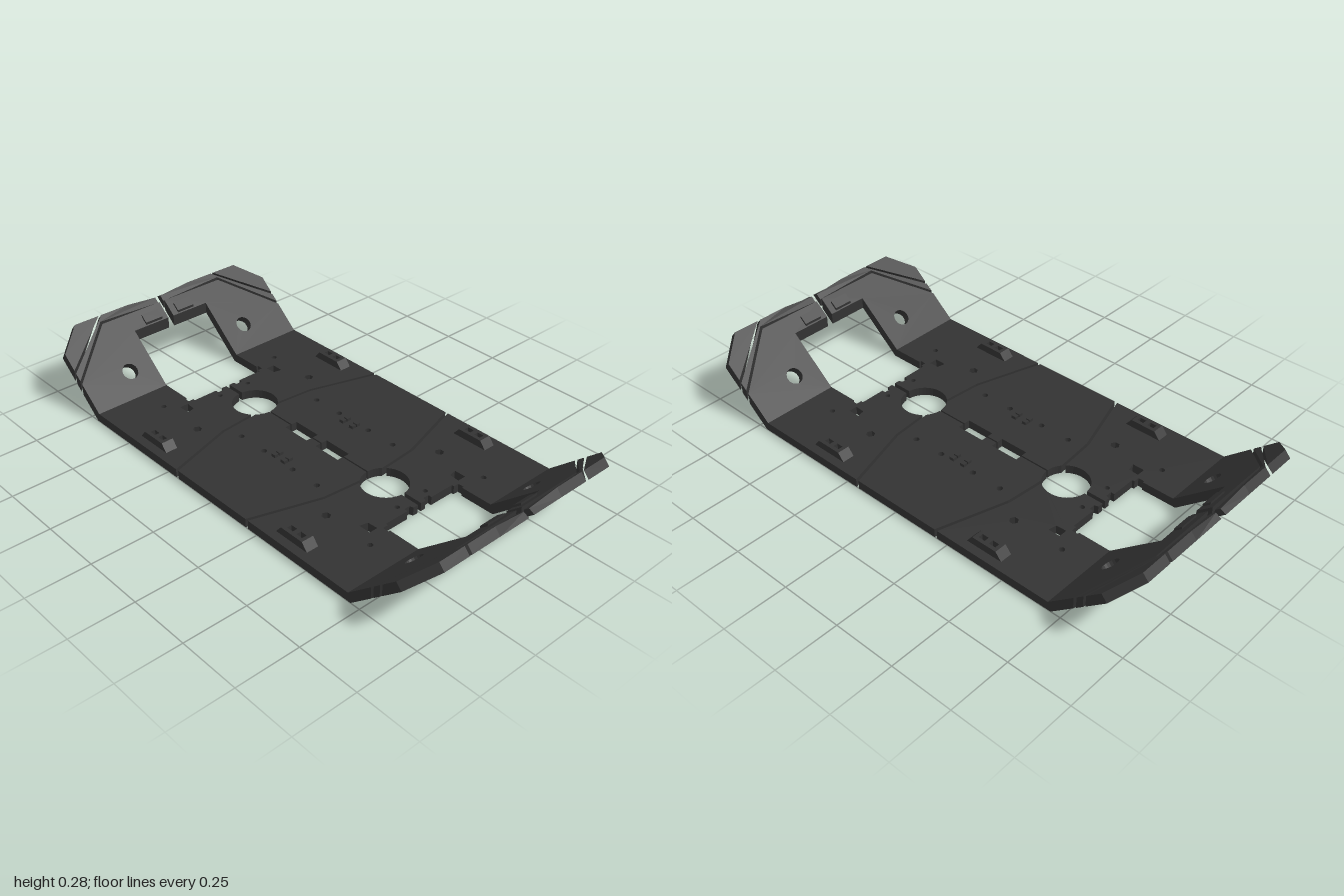
import * as THREE from 'three';

const T = 0.035;            // plate thickness
const BEND = 0.71;          // x where the end wings start to rise
const SLOPE = 0.25 / 0.29;  // rise of the wings
const TV = 0.046;           // wing thickness measured vertically
const PORT = [0.36, 0.09];  // round port: x and radius

const material = new THREE.MeshStandardMaterial({ color: 0x333333 });

const rect = (x0, z0, x1, z1) => [[x0, z0], [x1, z0], [x1, z1], [x0, z1]];

function oval(cx, cz, rx, rz = rx, n = 12) {
  return Array.from({ length: n }, (_, i) => {
    const a = i / n * Math.PI * 2;
    return [cx + rx * Math.cos(a), cz + rz * Math.sin(a)];
  });
}

function portArc(from, to, n) {
  return Array.from({ length: n + 1 }, (_, i) => {
    const a = THREE.MathUtils.degToRad(from + (to - from) * i / n);
    return [PORT[0] + PORT[1] * Math.cos(a), PORT[1] * Math.sin(a)];
  });
}

// Upright extrusion of a plan outline (x, z), reshaped by warp and mirrored by sx, sz
function panel(outline, holes, base, height, warp, sx, sz) {
  const vecs = pts => pts.map(p => new THREE.Vector2(...p));
  const shape = new THREE.Shape(vecs(outline));
  shape.holes = holes.map(h => new THREE.Path(vecs(h)));
  const source = new THREE.ExtrudeGeometry(shape, { depth: height, bevelEnabled: false });
  const p = source.attributes.position;
  const out = [];
  for (let i = 0; i < p.count; i += 3) {
    const order = sx * sz > 0 ? [0, 2, 1] : [0, 1, 2];
    for (const k of order) {
      const v = new THREE.Vector3(p.getX(i + k), base + p.getZ(i + k), p.getY(i + k));
      warp(v, p.getZ(i + k) > height / 2);
      out.push(v.x * sx, v.y, v.z * sz);
    }
  }
  const geometry = new THREE.BufferGeometry();
  geometry.setAttribute('position', new THREE.Float32BufferAttribute(out, 3));
  geometry.computeVertexNormals();
  return geometry;
}

// Mitre the floor edge that meets the wing
const flat = (v, top) => { if (top && v.x > BEND - 0.005) v.x -= 0.013; };

// Lift the wing; holes and outer edges run square to its surface
function rise(v, top) {
  if (top) {
    if (v.x < BEND + 0.001) v.x -= 0.013;
    else if (v.x > 0.97 || (v.z > 0.49 && v.x > 0.9)) v.x -= 0.023;
    else if (Math.hypot(v.x - 0.803, v.z - 0.29) < 0.05) v.x -= 0.023;
  }
  v.y += (v.x - BEND) * SLOPE;
}

// Rim thins towards the middle of the end
function riseRim(v, top) {
  const thin = top && v.z < 0.1;
  rise(v, top);
  if (thin) v.y -= 0.014;
}

// Sloping ends of the raised clip
const clipTaper = (v, top) => {
  if (top) v.x += v.x < 0.33 ? 0.025 : v.x > 0.45 ? -0.025 : 0;
};

// name, outline, holes, base height, thickness, warp
const parts = [
  ['centreFloorPlate',
    [[0, 0.003], [0.025, 0.003], [0.025, 0.028], [0.145, 0.028], [0.145, 0.003],
      ...portArc(178, 141, 5), [0.276, 0.22], [0.19, 0.5], [0, 0.5]],
    [oval(0.08, 0.19, 0.012), oval(0.21, 0.19, 0.012)], 0, T, flat],
  ['outerFloorPlate',
    [...portArc(131, 5, 14), [0.53, 0.008], [0.53, 0.03], [0.515, 0.035], [0.515, 0.06],
      [0.53, 0.06], [0.53, 0.165], [0.54, 0.165], [0.54, 0.188], [0.565, 0.188], [0.565, 0.18],
      [BEND, 0.18], [BEND, 0.5], [0.203, 0.5], [0.288, 0.22]],
    [oval(0.36, 0.283, 0.018, 0.018, 6), oval(0.575, 0.283, 0.011), oval(0.49, 0.07, 0.01),
      [[0.485, 0.205], [0.527, 0.202], [0.527, 0.238], [0.478, 0.238]]], 0, T, flat],
  ['wingPanel',
    [[BEND, 0.18], [0.892, 0.18], [0.892, 0.013], [0.949, 0.013], [0.949, 0.292],
      [0.799, 0.5], [BEND, 0.5]],
    [oval(0.803, 0.29, 0.025, 0.033, 20)], 0, TV, rise],
  ['wingRim',
    [[0.958, 0.013], [1, 0.013], [1, 0.15], [1, 0.276], [0.836, 0.5], [0.81, 0.5], [0.958, 0.295]],
    [], 0, TV, riseRim],
  ['wingCorner', [[1, 0.289], [1, 0.4], [0.925, 0.5], [0.846, 0.5]], [], 0, TV, rise],
  ['wingLatch', rect(0.896, 0.04, 0.925, 0.12), [], TV, 0.01, rise],
  ['floorClip', rect(0.31, 0.415, 0.465, 0.465),
    [rect(0.35, 0.43, 0.378, 0.45), rect(0.397, 0.43, 0.425, 0.45)], T, 0.03, clipTaper],
  ['centrePin', rect(0.016, 0.15, 0.036, 0.168), [], T, 0.012, flat],
  ['centrePinRear', rect(0.016, 0.173, 0.036, 0.191), [], T, 0.012, flat],
];

export function createModel() {
  const model = new THREE.Group();
  model.name = 'bentFloorPan';
  // Four mirrored quarters
  for (const sx of [1, -1]) {
    for (const sz of [1, -1]) {
      const quarter = new THREE.Group();
      quarter.name = (sz > 0 ? 'front' : 'back') + (sx > 0 ? 'Left' : 'Right') + 'Quarter';
      for (const [name, outline, holes, base, height, warp] of parts) {
        const mesh = new THREE.Mesh(panel(outline, holes, base, height, warp, sx, sz), material);
        mesh.name = name;
        quarter.add(mesh);
      }
      model.add(quarter);
    }
  }
  return model;
}
